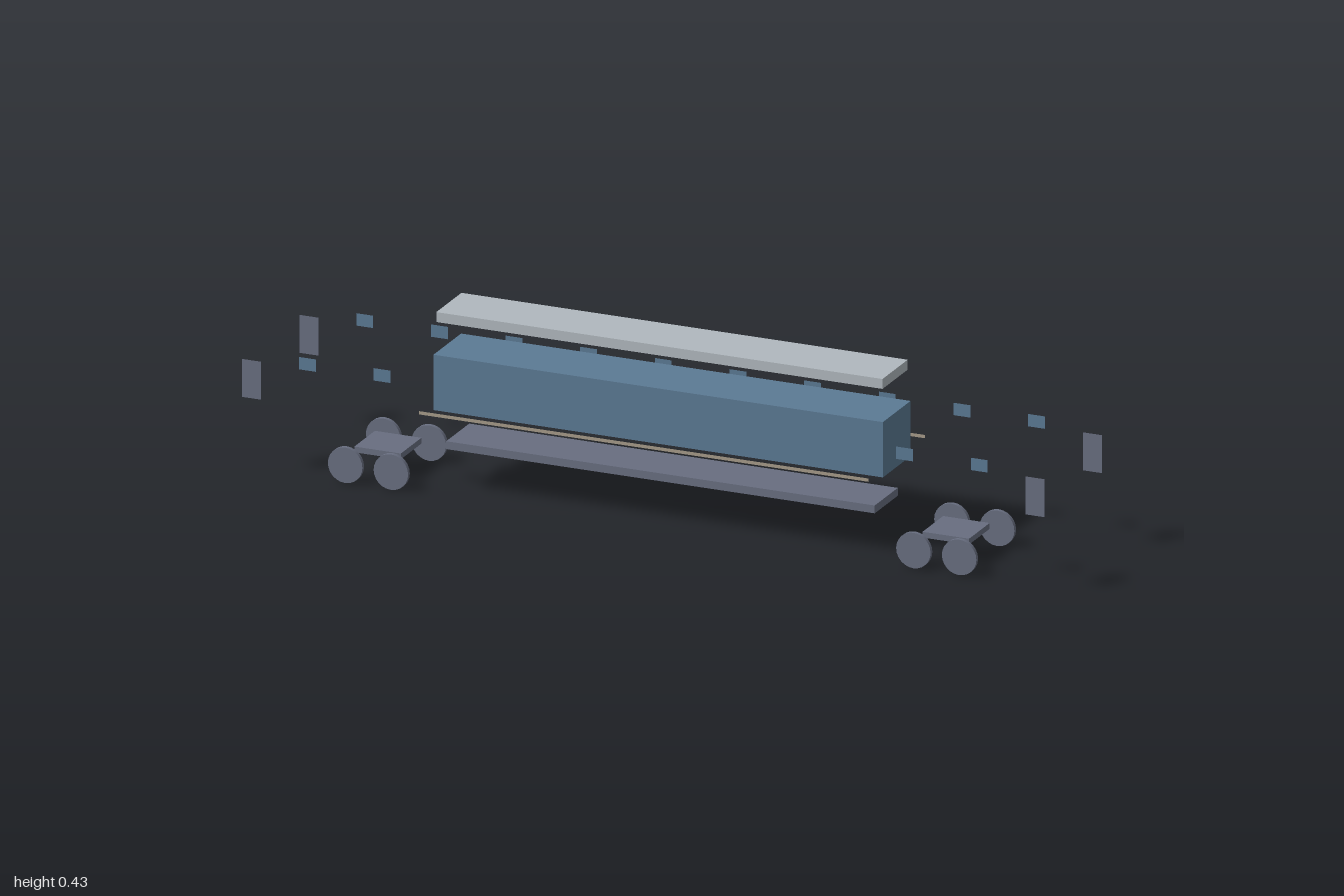
import * as THREE from 'three';

const paint = (name, color, side = THREE.FrontSide) => {
  const m = new THREE.MeshStandardMaterial({ color, side });
  m.name = name;
  return m;
};

// Exploded railway carriage: every part hovers away from the body
export function createModel() {
  const blue = paint('body blue', 0x5b7a94, THREE.DoubleSide);
  const grey = paint('running gear grey', 0x686e80, THREE.DoubleSide);
  const silver = paint('roof silver', 0xb0b8be);
  const tan = paint('stripe tan', 0xa59a88, THREE.DoubleSide);

  const model = new THREE.Group();
  model.name = 'explodedCarriage';

  const add = (name, geometry, material, x, y, z, parent = model) => {
    const mesh = new THREE.Mesh(geometry, material);
    mesh.name = name;
    mesh.position.set(x, y, z);
    parent.add(mesh);
    return mesh;
  };

  // Main slabs
  add('roof', new THREE.BoxGeometry(1.112, 0.024, 0.142), silver, 0, 0.419, 0);
  add('body', new THREE.BoxGeometry(1.12, 0.134, 0.156), blue, 0, 0.2625, 0);
  add('underframe', new THREE.BoxGeometry(1.068, 0.019, 0.13), grey, 0, 0.11, 0);

  // Side panels, floating off both long sides
  const windowGeo = new THREE.PlaneGeometry(0.042, 0.03);
  const doorGeo = new THREE.PlaneGeometry(0.047, 0.092);
  const stripeGeo = new THREE.PlaneGeometry(1.12, 0.008);
  for (const side of [1, -1]) {
    const panels = new THREE.Group();
    panels.name = side > 0 ? 'frontPanels' : 'backPanels';
    panels.rotation.y = side > 0 ? 0 : Math.PI;
    model.add(panels);
    for (let i = 0; i < 10; i++) {
      add('window', windowGeo, blue, (i - 4.5) * 0.186, 0.293, 0.161, panels);
    }
    for (const end of [1, -1]) {
      add('door', doorGeo, grey, end * 0.9765, 0.237, 0.162, panels);
    }
    add('stripe', stripeGeo, tan, 0, 0.216, 0.16, panels);
  }

  // Bogies with four detached wheels each
  const wheelGeo = new THREE.CylinderGeometry(0.043, 0.043, 0.01, 24).rotateX(Math.PI / 2);
  const frameGeo = new THREE.BoxGeometry(0.116, 0.014, 0.116);
  for (const end of [1, -1]) {
    const bogie = new THREE.Group();
    bogie.name = end > 0 ? 'leftBogie' : 'rightBogie';
    bogie.position.x = end * 0.708;
    model.add(bogie);
    add('bogieFrame', frameGeo, grey, 0, 0.0635, 0, bogie);
    for (const dx of [-0.057, 0.057]) {
      for (const z of [-0.107, 0.107]) {
        add('wheel', wheelGeo, grey, dx, 0.043, z, bogie);
      }
    }
  }
  return model;
}
